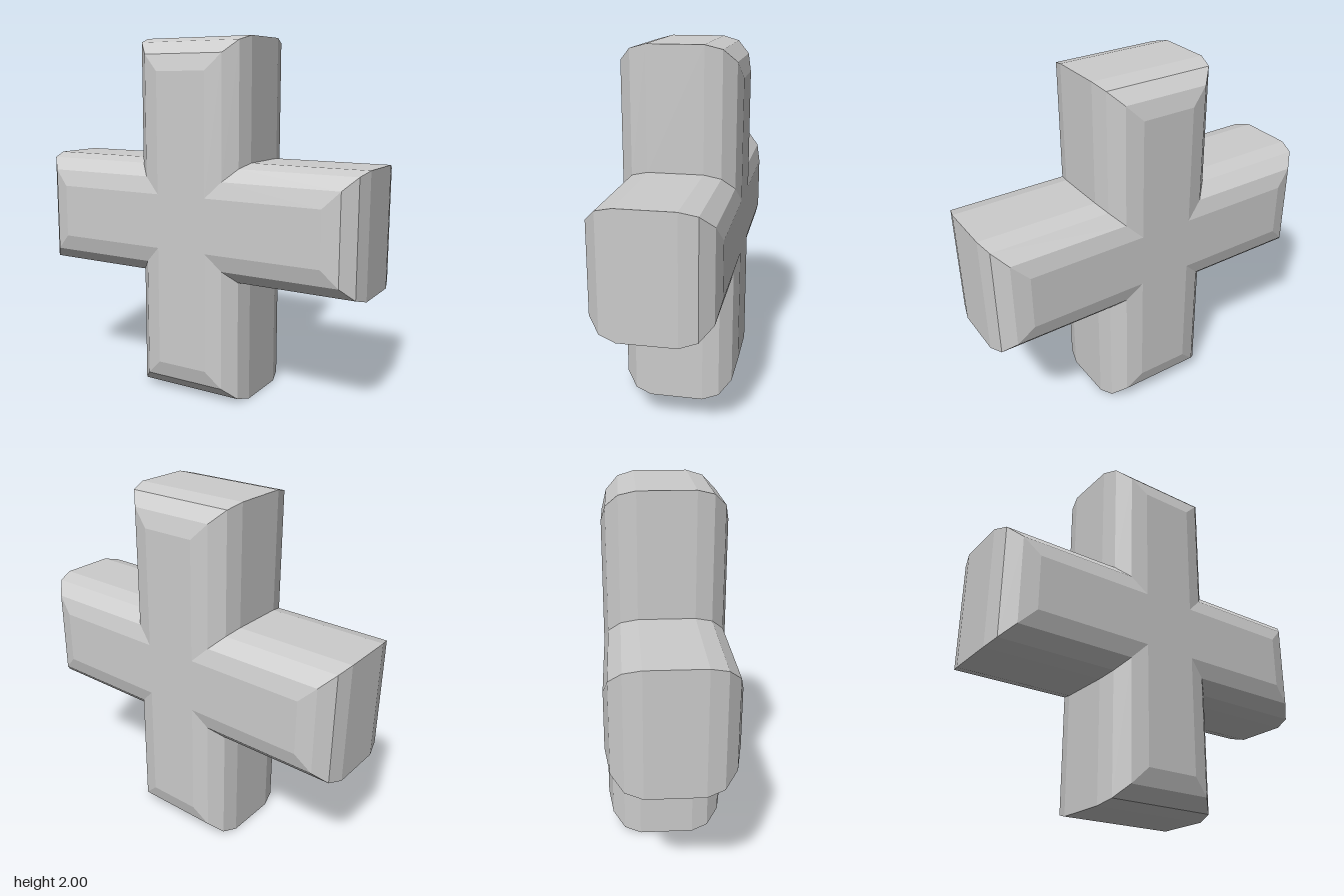
import * as THREE from 'three';

const HALF = 1;        // half length of the arms
const ARM = 1 / 3;     // half width and half depth of each arm
const BEVEL = 0.182;   // radius of the faceted edge rounding

export function createModel() {
  const group = new THREE.Group();
  group.name = 'plusSign';

  // Plus outline: one quarter's three corners, turned four times
  const quarter = [[HALF, -ARM], [HALF, ARM], [ARM, ARM]];
  const points = [];
  for (let i = 0; i < 4; i++) {
    for (const [x, y] of quarter) {
      points.push(new THREE.Vector2(x, y).rotateAround(new THREE.Vector2(), i * Math.PI / 2));
    }
  }

  // Solid body with three-facet mitred bevels on front and back
  const depth = 2 * (ARM - BEVEL);
  const geometry = new THREE.ExtrudeGeometry(new THREE.Shape(points), {
    depth,
    bevelEnabled: true,
    bevelThickness: BEVEL,
    bevelSize: BEVEL,
    bevelOffset: -BEVEL,
    bevelSegments: 3,
  });
  geometry.translate(0, HALF, -depth / 2);

  const material = new THREE.MeshStandardMaterial({ color: 0xcccccc, flatShading: true });
  const body = new THREE.Mesh(geometry, material);
  body.name = 'crossBody';
  group.add(body);
  return group;
}
